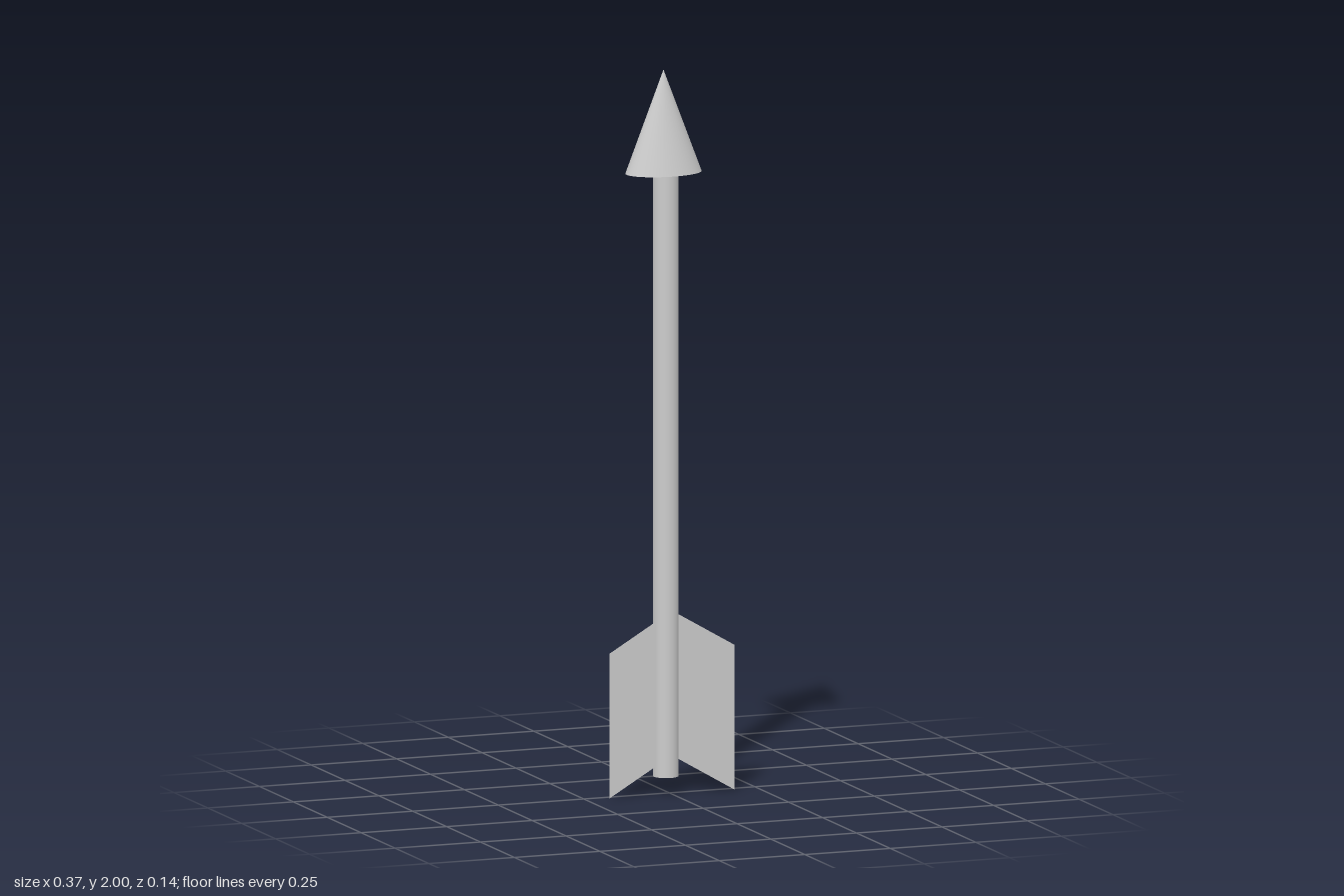
import * as THREE from 'three';

export function createModel() {
  const model = new THREE.Group();
  const grey = new THREE.MeshStandardMaterial({ color: 0xcccccc });
  const thinGrey = new THREE.MeshStandardMaterial({ color: 0xcccccc, side: THREE.DoubleSide });

  function add(name, geometry, material, x, y, z) {
    const mesh = new THREE.Mesh(geometry, material);
    mesh.name = name;
    mesh.position.set(x, y, z);
    model.add(mesh);
    return mesh;
  }

  // Straight round shaft, reaching up to the base of the head
  const shaftBottom = 0.05, headBottom = 1.716, top = 2;
  const shaftLength = headBottom - shaftBottom;
  add('shaft', new THREE.CylinderGeometry(0.035, 0.035, shaftLength, 48), grey,
    -0.015, shaftBottom + shaftLength / 2, 0.012);

  // Head: a cone flattened from front to back
  const headHeight = top - headBottom;
  const head = new THREE.ConeGeometry(0.108, headHeight, 48);
  head.scale(1, 1, 0.072 / 0.108);
  add('head', head, grey, -0.017, headBottom + headHeight / 2, 0);

  // Two thin swept vanes meeting inside the shaft
  for (const [name, side] of [['leftVane', 1], ['rightVane', -1]]) {
    const outline = new THREE.Shape([
      new THREE.Vector2(0, 0.107),
      new THREE.Vector2(side * 0.183, 0),
      new THREE.Vector2(side * 0.183, 0.4),
      new THREE.Vector2(0, 0.507),
    ]);
    add(name, new THREE.ShapeGeometry(outline), thinGrey, 0, 0, 0.02);
  }

  return model;
}
